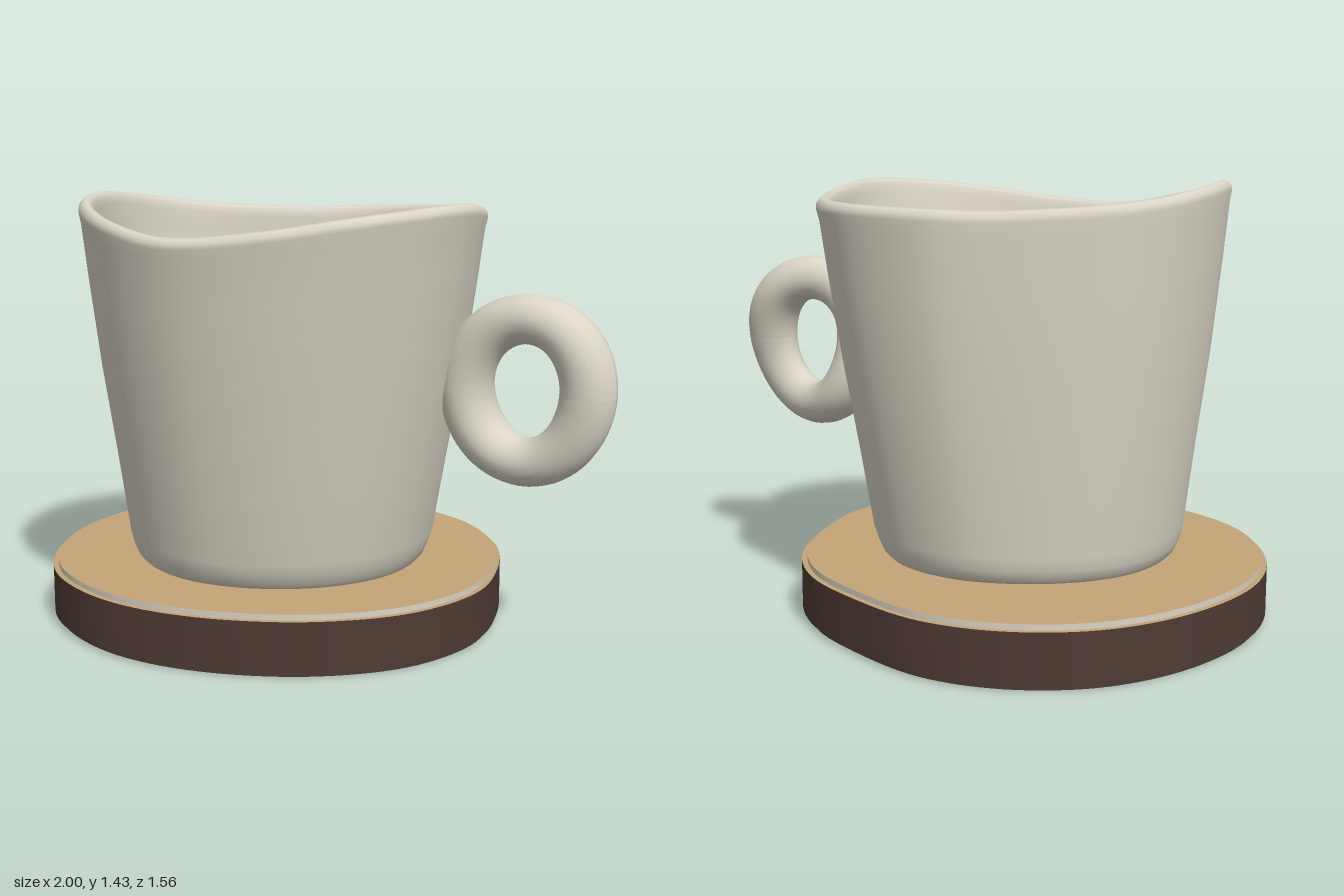
import * as THREE from 'three';
import { toCreasedNormals } from 'three/addons/utils/BufferGeometryUtils.js';

const material = (name, color) => {
  const m = new THREE.MeshStandardMaterial({ color });
  m.name = name;
  return m;
};

// Closed smooth loop through [x, z, height] control points
function loop(points, count) {
  const curve = new THREE.CatmullRomCurve3(
    points.map(([x, z, y = 0]) => new THREE.Vector3(x, y, z)), true);
  return curve.getPoints(count).slice(0, count);
}

// Flat slab with the given outline, shrunk by an inset, from y0 to y1
function slab(name, outline, cx, cz, inset, y0, y1, cap, side) {
  const shape = new THREE.Shape(outline.map((p) => {
    const dx = p.x - cx, dz = p.z - cz;
    const k = 1 - inset / Math.hypot(dx, dz);
    return new THREE.Vector2(cx + dx * k, -(cz + dz * k));
  }));
  let geo = new THREE.ExtrudeGeometry(shape, { depth: y1 - y0, bevelEnabled: false });
  geo.rotateX(-Math.PI / 2).translate(0, y0, 0);
  geo = toCreasedNormals(geo, 0.6);
  const mesh = new THREE.Mesh(geo, [cap, side]);
  mesh.name = name;
  return mesh;
}

// Lofted mug: profile rows are [outline scale, height fraction, height offset, inset].
// The outline eases from a near circle at the foot to the uneven rim.
function mugGeometry(rim, profile) {
  const n = rim.length, pos = [], index = [];
  for (const [s, t, dy, inset] of profile) {
    const cx = -0.185 + 0.05 * t, cz = 0.03 + 0.015 * t;
    for (const p of rim) {
      const dx = p.x + 0.135, dz = p.z - 0.045, r = Math.hypot(dx, dz);
      const even = THREE.MathUtils.lerp(r, 0.7, 0.7 * (1 - t));
      const k = s === 0 ? 0 : (even * s - inset) / r;
      pos.push(cx + dx * k, 0.198 + t * (p.y - 0.198) + dy, cz + dz * k);
    }
  }
  for (let r = 0; r < profile.length - 1; r++) {
    for (let i = 0; i < n; i++) {
      const a = r * n + i, b = r * n + (i + 1) % n;
      index.push(a, a + n, b, b, a + n, b + n);
    }
  }
  const geo = new THREE.BufferGeometry();
  geo.setAttribute('position', new THREE.Float32BufferAttribute(pos, 3));
  geo.setIndex(index);
  geo.computeVertexNormals();
  return geo;
}

export function createModel() {
  const group = new THREE.Group();
  const ceramic = material('ceramic', 0xdad5c6);
  const tan = material('tan', 0xc4a577);
  const darkWood = material('dark wood', 0x4f3b34);
  const drink = material('drink', 0x8e572b);

  // Coaster: dark edge band with thin inset plates above and below
  const coaster = loop([
    [0.59, 0.1], [0.505, 0.385], [0.3, 0.6], [0.02, 0.735], [-0.26, 0.775], [-0.5, 0.73],
    [-0.73, 0.6], [-0.92, 0.35], [-1.0, 0.04], [-0.945, -0.31], [-0.795, -0.57],
    [-0.57, -0.73], [-0.315, -0.785], [-0.02, -0.725], [0.225, -0.62], [0.42, -0.43], [0.54, -0.17],
  ], 136);
  group.add(
    slab('coasterBand', coaster, -0.2, 0, 0, 0.02, 0.18, tan, darkWood),
    slab('coasterTop', coaster, -0.2, 0, 0.018, 0.18, 0.198, tan, ceramic),
    slab('coasterBottom', coaster, -0.2, 0, 0.018, 0, 0.02, tan, darkWood),
  );

  // Mug: uneven rim, tapered wall, rounded lip, inner wall and floor
  const rim = loop([
    [0.553, 0.09, 1.415], [0.52, 0.31, 1.41], [0.37, 0.525, 1.385], [0.12, 0.68, 1.345],
    [-0.15, 0.75, 1.325], [-0.42, 0.69, 1.365], [-0.65, 0.52, 1.41], [-0.785, 0.28, 1.43],
    [-0.825, 0.03, 1.415], [-0.785, -0.165, 1.39], [-0.67, -0.33, 1.37], [-0.4, -0.535, 1.355],
    [-0.23, -0.63, 1.36], [-0.06, -0.655, 1.365], [0.09, -0.635, 1.37], [0.215, -0.565, 1.375],
    [0.37, -0.37, 1.38], [0.49, -0.15, 1.395],
  ], 144);
  const profile = [
    [0, 0, 0, 0], [0.67, 0, 0, 0], [0.695, 0, 0.004, 0], [0.718, 0, 0.02, 0],
    [0.737, 0, 0.05, 0], [0.757, 0.08, 0, 0], [0.818, 0.3, 0, 0], [0.892, 0.55, 0, 0],
    [0.955, 0.8, 0, 0], [0.987, 0.94, 0, 0], [1, 1, -0.035, 0], [1, 1, -0.018, 0.002],
    [1, 1, -0.005, 0.012], [1, 1, 0, 0.025], [1, 1, -0.005, 0.038], [1, 1, -0.018, 0.047],
    [1, 1, -0.04, 0.051], [0.99, 0.92, 0, 0.053], [0.968, 0.8, 0, 0.053],
    [0.82, 0.3, 0, 0.06], [0.76, 0.08, 0, 0.07], [0, 0.08, 0, 0],
  ];
  const mug = new THREE.Mesh(mugGeometry(rim, profile), ceramic);
  mug.name = 'mug';
  group.add(mug);

  // Drink surface, just overlapping the inner wall
  group.add(slab('drink', rim, -0.135, 0.045, 0.066, 1.18, 1.203, drink, drink));

  // Handle: ring reshaped to an upright oval, pinched unevenly in depth
  const ring = new THREE.TorusGeometry(0.22, 0.08, 24, 64);
  const p = ring.attributes.position;
  for (let i = 0; i < p.count; i++) {
    const x = p.getX(i), y = p.getY(i);
    const u = Math.atan2(y, x), d = Math.hypot(x, y) - 0.22, twist = Math.sin(2 * u);
    const height = Math.sin(u) * (0.227 + d * 0.98);
    p.setXYZ(i,
      0.704 + Math.cos(u) * (0.205 + d * 1.12) + 0.02 * height,
      0.832 + height,
      p.getZ(i) * (1.05 + 0.19 * twist) + 0.003 - 0.013 * twist);
  }
  ring.computeVertexNormals();
  const handle = new THREE.Mesh(ring, ceramic);
  handle.name = 'handle';
  group.add(handle);

  return group;
}
